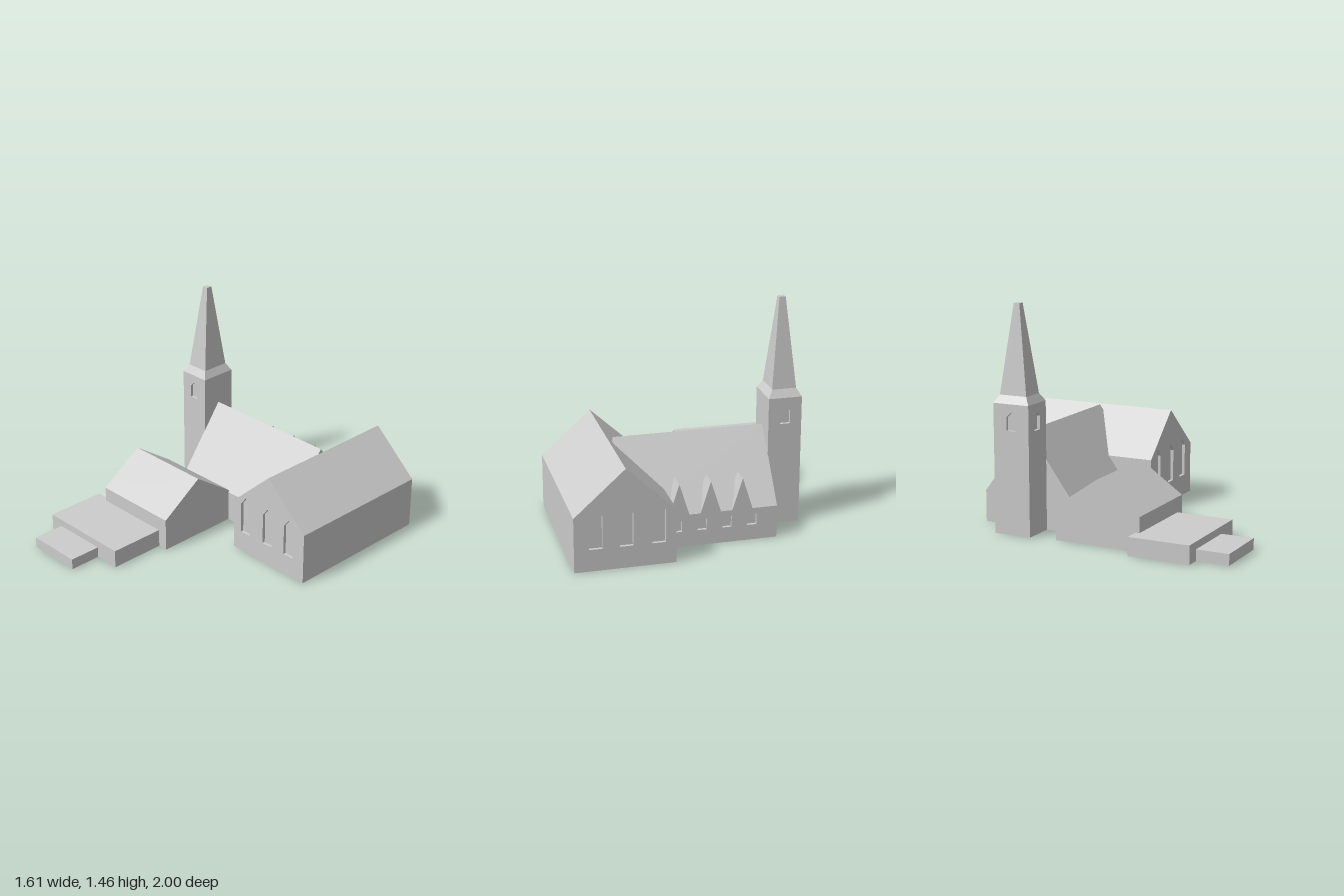
import * as THREE from 'three';

export function createModel() {
  const group = new THREE.Group();
  group.name = 'church';
  const stone = new THREE.MeshStandardMaterial({ color: 0xcccccc });
  stone.name = 'paleStone';

  const add = (name, geometry) => {
    const mesh = new THREE.Mesh(geometry, stone);
    mesh.name = name;
    group.add(mesh);
    return mesh;
  };
  const outline = pts => new THREE.Shape(pts.map(p => new THREE.Vector2(...p)));

  // Pointed window outline
  const lancet = (c, w, y0, shoulder, top) => new THREE.Path([
    [c - w / 2, y0], [c + w / 2, y0], [c + w / 2, shoulder], [c, top], [c - w / 2, shoulder],
  ].map(p => new THREE.Vector2(...p)));

  // Profile in x,y swept from z0 to z1
  const alongZ = (name, pts, z0, z1, holes = []) => {
    const shape = outline(pts);
    shape.holes = holes;
    const g = new THREE.ExtrudeGeometry(shape, { depth: z1 - z0, bevelEnabled: false });
    return add(name, g.translate(0, 0, z0));
  };
  // Profile in z,y swept from x0 to x1
  const alongX = (name, pts, x0, x1, holes = []) => {
    const shape = outline(pts);
    shape.holes = holes;
    const g = new THREE.ExtrudeGeometry(shape, { depth: x1 - x0, bevelEnabled: false });
    return add(name, g.rotateY(-Math.PI / 2).translate(x1, 0, 0));
  };
  const rect = (a, b, h) => [[a, 0], [b, 0], [b, h], [a, h]];
  const box = (name, x0, x1, y0, y1, z0, z1) => add(name,
    new THREE.BoxGeometry(x1 - x0, y1 - y0, z1 - z0)
      .translate((x0 + x1) / 2, (y0 + y1) / 2, (z0 + z1) / 2));

  // Box whose top is drawn in to the given half sizes
  const taper = (name, cx, cz, y0, y1, bottom, top) => {
    const g = new THREE.BoxGeometry(2, 1, 2).toNonIndexed();
    const p = g.attributes.position;
    for (let i = 0; i < p.count; i++) {
      const up = p.getY(i) > 0;
      const [hx, hz] = up ? top : bottom;
      p.setXYZ(i, cx + p.getX(i) * hx, up ? y1 : y0, cz + p.getZ(i) * hz);
    }
    g.computeVertexNormals();
    add(name, g);
  };

  const inset = 0.02; // window depth

  // Gabled hall with three windows in each gable wall
  const gable = [[0.18, 0], [0.805, 0], [0.805, 0.35], [0.487, 0.635], [0.18, 0.35]];
  const hallWindows = () => [0.287, 0.485, 0.672].map(x => lancet(x, 0.082, 0.14, 0.35, 0.405));
  alongZ('hall', gable, -1 + inset, 0.05 - inset);
  alongZ('hallFrontWall', gable, 0.05 - inset, 0.05, hallWindows());
  alongZ('hallBackWall', gable, -1, -1 + inset, hallWindows());

  // Nave running into the hall roof
  alongX('nave', [[-0.165, 0], [-0.165, 0.21], [-0.475, 0.635], [-0.8, 0.21],
    [-0.8 + inset, 0.21], [-0.8 + inset, 0]], -0.517, 0.45);
  alongZ('naveBackWall', rect(-0.517, 0.2, 0.21), -0.8, -0.8 + inset,
    [-0.355, -0.195, -0.035, 0.123].map(x => lancet(x, 0.06, 0.1, 0.17, 0.197)));

  // Steep dormers on the back roof
  for (const x of [-0.293, -0.09, 0.11]) {
    alongZ('dormer', [[x - 0.065, 0.21], [x + 0.065, 0.21], [x, 0.415]], -0.8, -0.68);
  }

  // Tower with windows on three sides
  const [tx0, tx1, tz0, tz1, th] = [-0.73, -0.515, -0.6, -0.348, 0.84];
  const cx = (tx0 + tx1) / 2, cz = (tz0 + tz1) / 2;
  const towerWindow = c => [lancet(c, 0.066, 0.67, 0.755, 0.785)];
  box('towerCore', tx0 + inset, tx1, 0, th, tz0 + inset, tz1 - inset);
  alongZ('towerFrontWall', rect(tx0, tx1, th), tz1 - inset, tz1, towerWindow(cx));
  alongZ('towerBackWall', rect(tx0, tx1, th), tz0, tz0 + inset, towerWindow(cx));
  alongX('towerSideWall', rect(tz0 + inset, tz1 - inset, th), tx0, tx0 + inset, towerWindow(cz));

  // Spire
  taper('spireSkirt', cx, cz, th, 0.89, [0.1075, 0.126], [0.078, 0.095]);
  taper('spire', cx, cz, 0.89, 1.462, [0.078, 0.095], [0.02, 0.02]);

  // Gabled annex and the two low flat blocks
  alongX('annex', [[0.405, 0], [0.405, 0.22], [0.112, 0.42], [-0.175, 0.22], [-0.175, 0]],
    -0.703, -0.095);
  box('lowBlock', -0.808, -0.163, 0, 0.12, 0.378, 0.785);
  box('porchBlock', -0.715, -0.337, 0, 0.072, 0.785, 1);

  return group;
}
